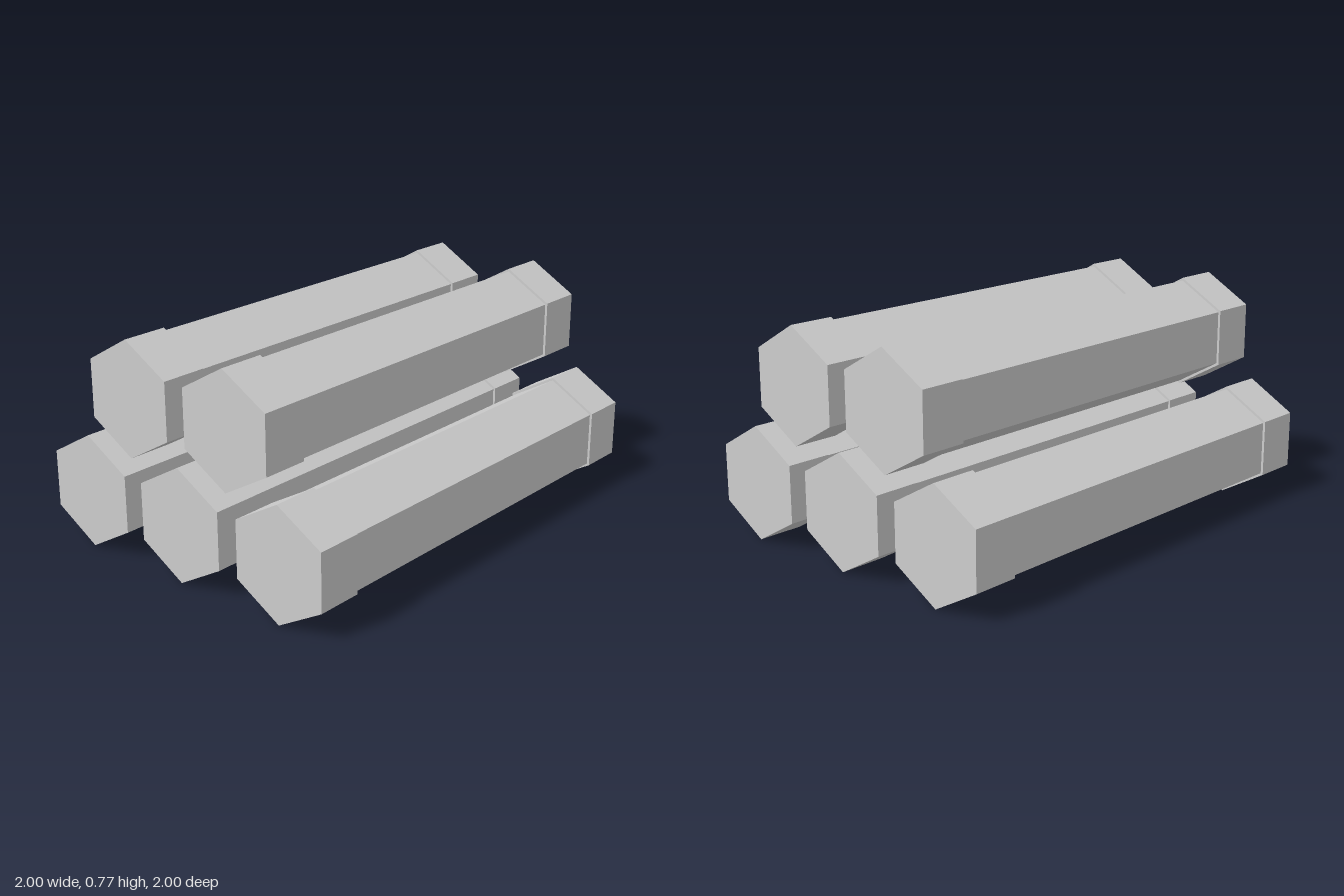
import * as THREE from 'three';

export function createModel() {
  const model = new THREE.Group();
  model.name = 'barStack';
  const grey = new THREE.MeshStandardMaterial({ color: 0xcccccc, flatShading: true });
  grey.name = 'light grey';

  const radius = 0.199, length = 1.633, capLength = 0.163, spacing = 0.423;

  // Hexagonal prism lying along z with a corner pointing up
  const hexPrism = (r, len) => new THREE.CylinderGeometry(r, r, len, 6).rotateX(Math.PI / 2);
  const capGeometry = hexPrism(radius, capLength);
  const bodyGeometry = hexPrism(0.189, length - 2 * capLength + 0.02);

  function addBar(name, x, y) {
    const bar = new THREE.Group();
    bar.name = name;
    const body = new THREE.Mesh(bodyGeometry, grey);
    body.name = 'barBody';
    bar.add(body);
    // Slightly wider collar at each end
    for (const side of [-1, 1]) {
      const cap = new THREE.Mesh(capGeometry, grey);
      cap.name = side > 0 ? 'frontEndCap' : 'backEndCap';
      cap.position.z = side * (length - capLength) / 2;
      bar.add(cap);
    }
    bar.position.set(x, y, 0);
    model.add(bar);
  }

  // Three bars below, two resting between them
  for (const i of [-1, 0, 1]) addBar('lowerBar' + (i + 2), i * spacing, radius);
  for (const i of [-0.5, 0.5]) addBar('upperBar' + (i + 1.5), i * spacing, 0.572);

  // The whole stack lies diagonally
  model.rotation.y = -Math.PI / 4;
  const root = new THREE.Group();
  root.name = 'stackedBars';
  root.add(model);
  return root;
}
